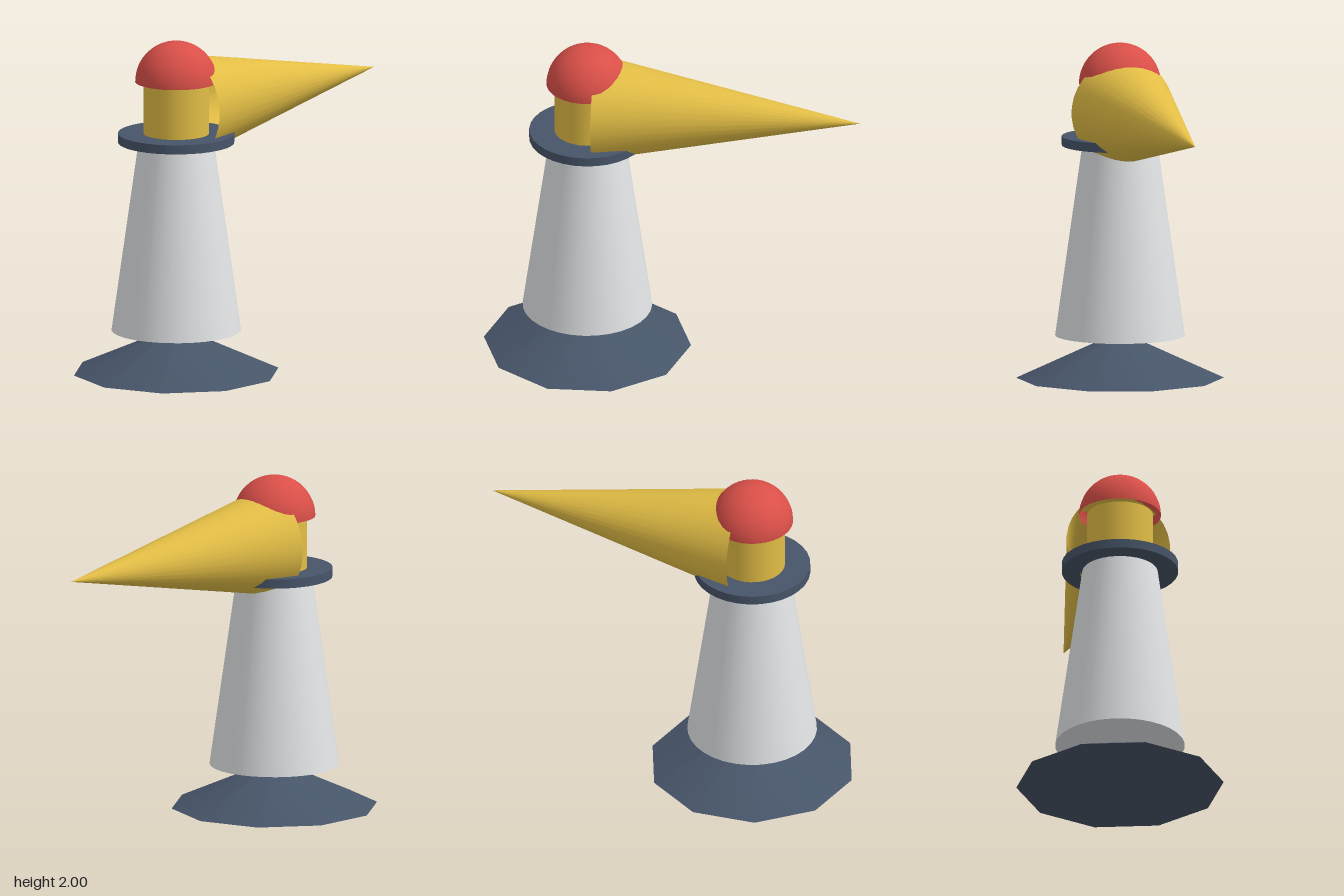
import * as THREE from 'three';

export function createModel() {
  const material = (name, color, side = THREE.FrontSide) => {
    const m = new THREE.MeshStandardMaterial({ color, side });
    m.name = name;
    return m;
  };
  const slate = material('slate', 0x475569);
  const white = material('white', 0xe2e4e6);
  const gold = material('gold', 0xe2bd45, THREE.DoubleSide);
  const red = material('red', 0xd94f48, THREE.DoubleSide);

  const model = new THREE.Group();
  model.name = 'lighthouse';
  const add = (parent, name, geometry, mat) => {
    const mesh = new THREE.Mesh(geometry, mat);
    mesh.name = name;
    parent.add(mesh);
    return mesh;
  };

  // Everything except the beam shares one vertical axis
  const building = new THREE.Group();
  building.name = 'building';
  building.position.set(-0.215, 0, 0.33);
  model.add(building);
  const column = (name, rTop, rBottom, y0, y1, mat, sides = 32) => {
    const g = new THREE.CylinderGeometry(rTop, rBottom, y1 - y0, sides);
    add(building, name, g, mat).position.y = (y0 + y1) / 2;
  };

  column('rockBase', 0, 0.615, 0, 0.277, slate, 10);
  column('tower', 0.222, 0.384, 0.255, 1.4, white);
  column('gallery', 0.345, 0.345, 1.39, 1.445, slate);
  column('lanternRoom', 0.195, 0.195, 1.445, 1.76, gold);

  // Open hemispherical roof
  const dome = new THREE.SphereGeometry(0.243, 32, 16, 0, Math.PI * 2, 0, Math.PI / 2);
  add(building, 'domeRoof', dome, red).position.y = 1.757;

  // Light beam: open cone from the lantern towards the back left
  const mouth = new THREE.Vector3(-0.18, 1.6, 0.288);
  const tip = new THREE.Vector3(0.795, 1.6, -0.945);
  const axis = tip.clone().sub(mouth);
  const beam = add(model, 'lightBeam',
    new THREE.ConeGeometry(0.313, axis.length(), 32, 1, true), gold);
  beam.position.copy(mouth).lerp(tip, 0.5);
  beam.quaternion.setFromUnitVectors(new THREE.Vector3(0, 1, 0), axis.normalize());

  return model;
}
